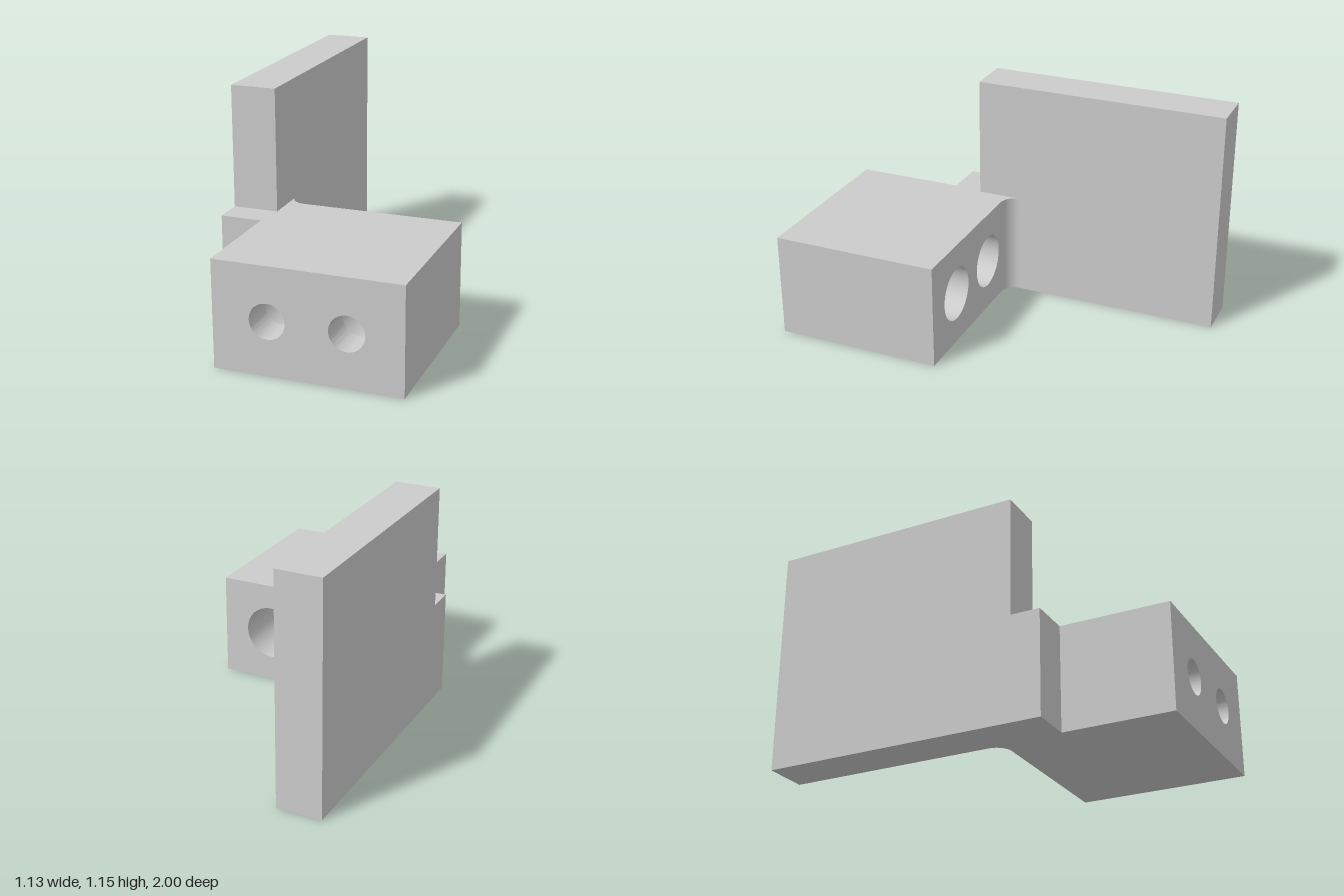
import * as THREE from 'three';
import { toCreasedNormals } from 'three/addons/utils/BufferGeometryUtils.js';

const H = 0.535; // block height
const material = new THREE.MeshStandardMaterial({ color: 0xcccccc });

function add(group, name, geometry) {
  const mesh = new THREE.Mesh(geometry, material);
  mesh.name = name;
  group.add(mesh);
}

// Box given by its min and max corners
function span(x0, x1, y0, y1, z0, z1) {
  return new THREE.BoxGeometry(x1 - x0, y1 - y0, z1 - z0)
    .translate((x0 + x1) / 2, (y0 + y1) / 2, (z0 + z1) / 2);
}

function extrude(shape, depth) {
  const geometry = new THREE.ExtrudeGeometry(shape, { depth, bevelEnabled: false, curveSegments: 32 });
  return toCreasedNormals(geometry, 0.5);
}

// Slice of the block between two depths, pierced by the two bores
function boredSlice(radius, z0, z1) {
  const shape = new THREE.Shape([[-0.355, 0], [0.565, 0], [0.565, H], [-0.355, H]]
    .map(([x, y]) => new THREE.Vector2(x, y)));
  for (const x of [-0.087, 0.295]) {
    shape.holes.push(new THREE.Path().absarc(x, 0.268, radius, 0, Math.PI * 2, true));
  }
  return extrude(shape, z1 - z0).translate(0, 0, z0);
}

export function createModel() {
  const group = new THREE.Group();
  group.name = 'mountingBracket';

  // Tall upright plate and the low tab in front of it
  add(group, 'uprightPlate', span(-0.565, -0.335, 0, 1.155, -1, 0.3));
  add(group, 'sideTab', span(-0.565, -0.355, 0, H, 0.3, 0.45));

  // Block: narrow bores at the front, wide counterbores from the back
  add(group, 'blockFront', boredSlice(0.087, 0.82, 1));
  add(group, 'blockCounterbored', boredSlice(0.14, 0.147, 0.82));

  // Concave fillet between plate and block
  const r = 0.08, x = -0.335, z = 0.147;
  const fillet = new THREE.Shape();
  fillet.moveTo(x, -z);
  fillet.lineTo(x + r, -z);
  fillet.absarc(x + r, -z + r, r, -Math.PI / 2, -Math.PI, true);
  fillet.closePath();
  add(group, 'cornerFillet', extrude(fillet, H).rotateX(-Math.PI / 2));

  return group;
}
